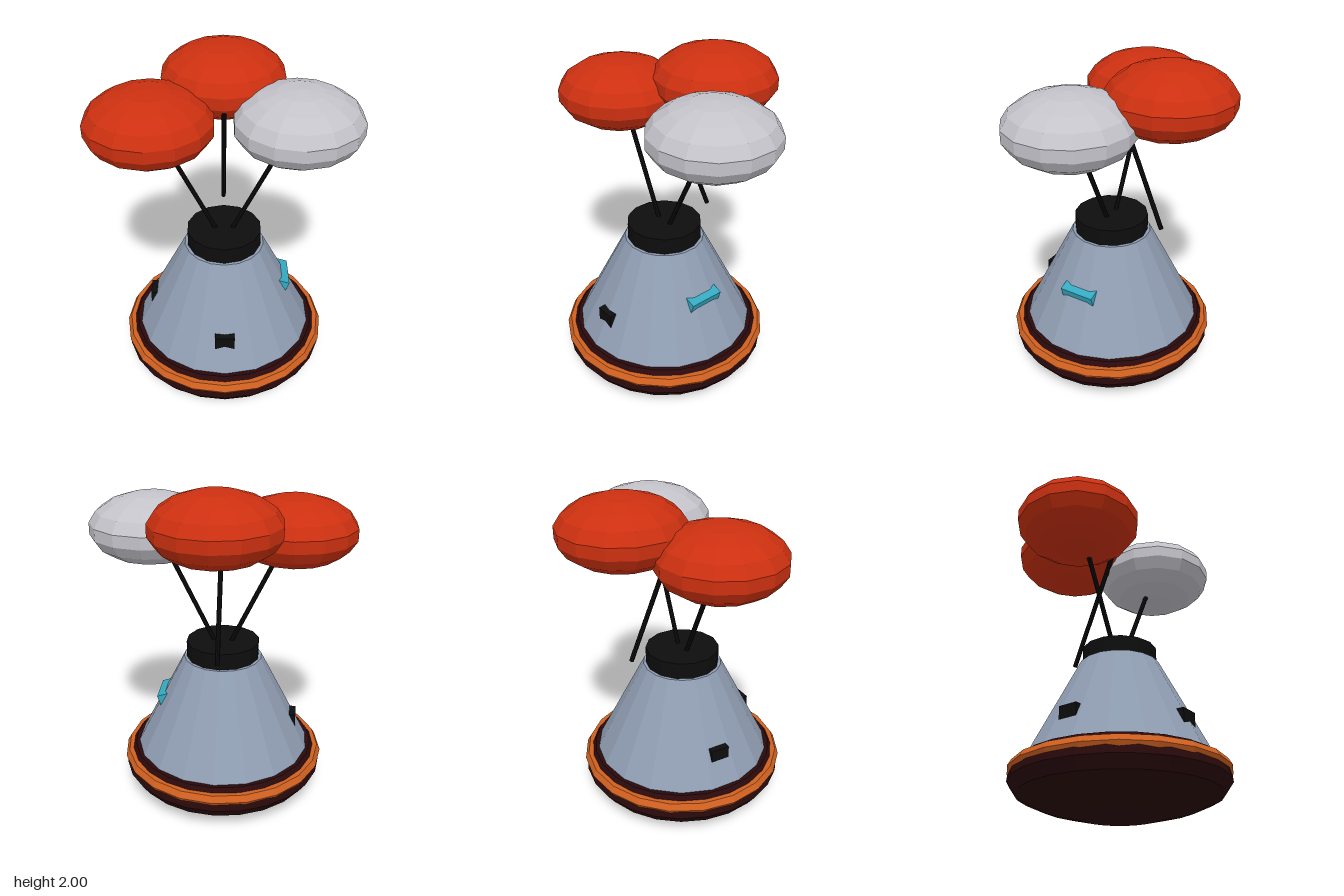
import * as THREE from 'three';

const mat = (name, color) => {
  const m = new THREE.MeshStandardMaterial({ color, flatShading: true });
  m.name = name;
  return m;
};

export function createModel() {
  const hullGrey = mat('hull blue grey', 0x909eb3);
  const black = mat('black', 0x0d0d0d);
  const orange = mat('orange', 0xd06020);
  const brown = mat('dark heat shield brown', 0x2a090b);
  const red = mat('parachute red', 0xcc3010);
  const white = mat('parachute light grey', 0xc4c3ca);
  const cyan = mat('window cyan', 0x35aac2);

  const model = new THREE.Group();
  model.name = 'spaceCapsule';
  const add = (name, geometry, material, x, y, z) => {
    const mesh = new THREE.Mesh(geometry, material);
    mesh.name = name;
    mesh.position.set(x, y, z);
    model.add(mesh);
    return mesh;
  };
  const cz = 0.053; // capsule axis

  // Rounded heat shield with a flat top
  const profile = [[0, 0.003], [0.23, 0.015], [0.45, 0.07], [0.575, 0.125], [0.62, 0.19],
    [0.617, 0.225], [0.595, 0.265], [0.57, 0.3], [0.56, 0.314], [0, 0.314]]
    .map(([r, y]) => new THREE.Vector2(r, y));
  add('heatShield', new THREE.LatheGeometry(profile, 24), brown, 0, 0, cz);

  // Orange rim ring
  const ring = add('rimRing', new THREE.TorusGeometry(0.586, 0.042, 6, 20), orange, 0, 0.252, cz);
  ring.rotation.x = Math.PI / 2;

  // Conical hull and top cap
  add('hull', new THREE.CylinderGeometry(0.238, 0.54, 0.595, 18), hullGrey, 0, 0.6075, cz);
  add('topCap', new THREE.CylinderGeometry(0.222, 0.222, 0.105, 14), black, 0, 0.9525, cz);

  // Thruster blocks half sunk into the hull
  add('frontThruster', new THREE.BoxGeometry(0.116, 0.11, 0.1), black, 0, 0.475, 0.465);
  add('sideThruster', new THREE.BoxGeometry(0.1, 0.11, 0.116), black, -0.41, 0.475, cz);

  // Tilted window block on the left side
  const win = add('sideWindow', new THREE.BoxGeometry(0.08, 0.08, 0.215), cyan, 0.351, 0.62, cz);
  win.rotation.z = -0.32;

  // Parachute canopies: squashed low-poly spheres
  const canopy = new THREE.SphereGeometry(1, 14, 9);
  canopy.rotateY(Math.PI / 2);
  canopy.scale(0.366, 0.2, 0.366);
  add('rightParachute', canopy, red, -0.405, 1.7, 0.05);
  add('leftParachute', canopy, white, 0.405, 1.7, 0.05);
  add('backParachute', canopy, red, 0, 1.8, -0.32);

  // Straight lines to the parachutes
  const rod = (name, from, to) => {
    const a = new THREE.Vector3(...from), b = new THREE.Vector3(...to);
    const dir = b.clone().sub(a);
    const mid = a.clone().add(b).multiplyScalar(0.5);
    const mesh = add(name, new THREE.CylinderGeometry(0.014, 0.014, dir.length(), 8), black, mid.x, mid.y, mid.z);
    mesh.quaternion.setFromUnitVectors(new THREE.Vector3(0, 1, 0), dir.normalize());
  };
  rod('rightParachuteLine', [-0.05, 0.995, cz], [-0.4, 1.72, cz]);
  rod('leftParachuteLine', [0.05, 0.995, cz], [0.4, 1.72, cz]);
  rod('backParachuteLine', [0, 0.995, -0.29], [0, 1.75, 0.02]);

  return model;
}
